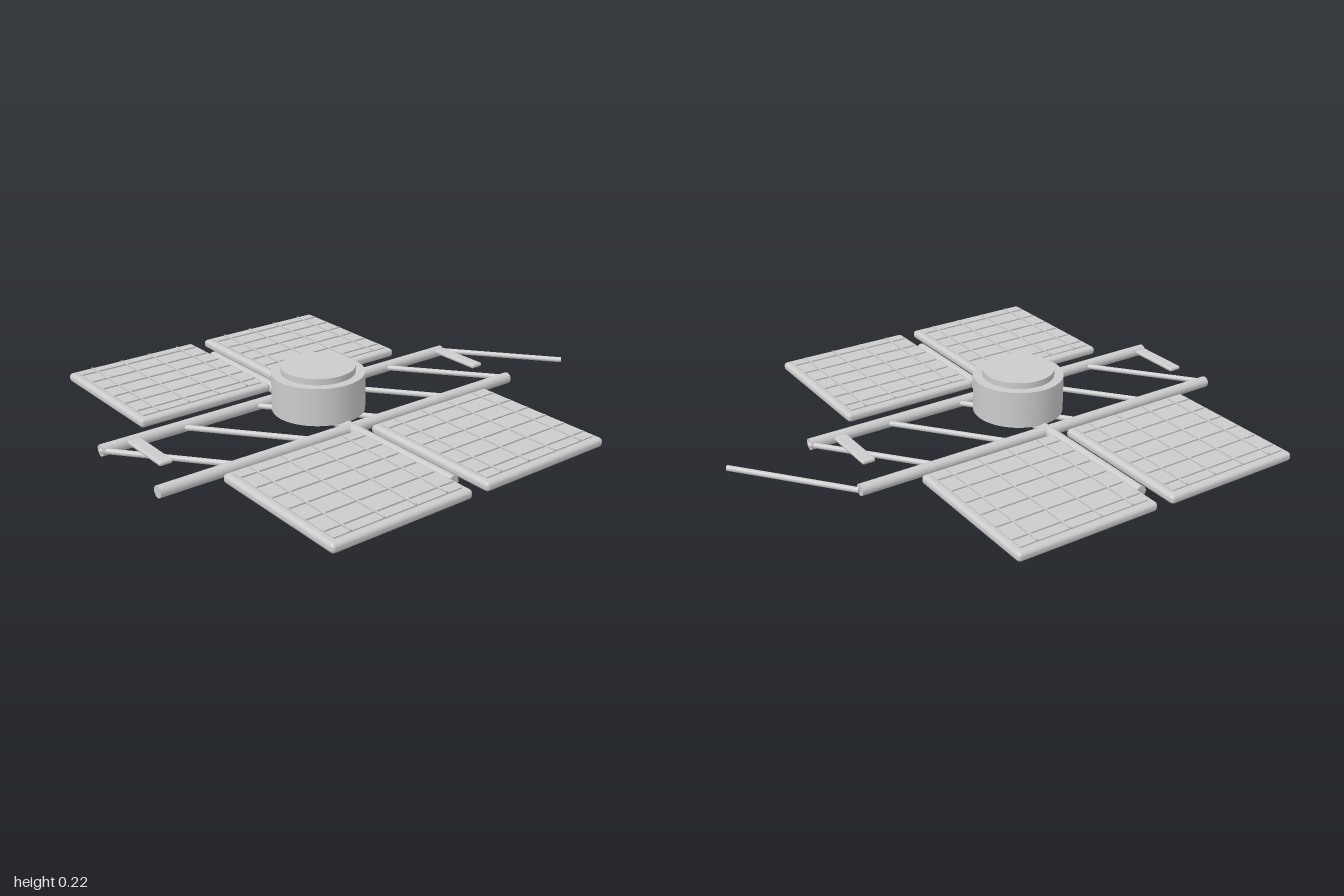
import * as THREE from 'three';
import { RoundedBoxGeometry } from 'three/addons/geometries/RoundedBoxGeometry.js';

const MID = 0.163; // z of the hub and cross boom
const material = new THREE.MeshStandardMaterial({ color: 0xcccccc });

function add(parent, name, geometry, x = 0, y = 0, z = 0) {
  const mesh = new THREE.Mesh(geometry, material);
  mesh.name = name;
  mesh.position.set(x, y, z);
  parent.add(mesh);
  return mesh;
}

// Round bar between two points
function rod(parent, name, from, to, radius) {
  const a = new THREE.Vector3(...from);
  const b = new THREE.Vector3(...to);
  const dir = b.clone().sub(a);
  const mesh = add(parent, name, new THREE.CylinderGeometry(radius, radius, dir.length(), 20));
  mesh.position.copy(a).add(b).multiplyScalar(0.5);
  mesh.quaternion.setFromUnitVectors(new THREE.Vector3(0, 1, 0), dir.normalize());
}

// Rounded panel with a raised cell sheet and a grid of thin bars
function solarPanel() {
  const panel = new THREE.Group();
  panel.name = 'solarPanel';
  const w = 0.555, d = 0.535, cols = 6, rows = 4;
  add(panel, 'panelFrame', new RoundedBoxGeometry(0.615, 0.036, 0.588, 4, 0.015), 0, 0.04, 0);
  add(panel, 'cellSheet', new THREE.BoxGeometry(w, 0.008, d), 0, 0.059, 0);
  for (let i = 0; i < cols; i++) {
    add(panel, 'gridBar', new THREE.BoxGeometry(0.006, 0.008, d), ((i + 0.5) / cols - 0.5) * w, 0.065, 0);
  }
  for (let i = 0; i < rows; i++) {
    add(panel, 'gridBar', new THREE.BoxGeometry(w, 0.008, 0.006), 0, 0.065, ((i + 0.5) / rows - 0.5) * d);
  }
  return panel;
}

export function createModel() {
  const model = new THREE.Group();
  model.name = 'spaceStation';

  // Truss: two long rails, a cross boom and slanting braces
  for (const side of [-1, 1]) {
    rod(model, 'trussRail', [side * 0.205, 0.024, -0.663], [side * 0.205, 0.024, 0.99], 0.023);
  }
  rod(model, 'crossBoom', [-0.765, 0.024, MID], [0.765, 0.024, MID], 0.023);
  for (let i = 0; i < 6; i++) {
    const z = 0.99 - i * 0.331;
    rod(model, 'trussBrace', [-0.205, 0.024, z], [0.205, 0.024, z - 0.331], 0.011);
  }

  // Central drum with a stepped lid
  add(model, 'hubDrum', new THREE.CylinderGeometry(0.181, 0.181, 0.15, 48), 0, 0.117, MID);
  add(model, 'hubLid', new THREE.CylinderGeometry(0.144, 0.144, 0.026, 48), 0, 0.204, MID);

  // Four solar panels
  for (const sx of [-1, 1]) {
    for (const sz of [-1, 1]) {
      const panel = solarPanel();
      panel.position.set(sx * 0.588, 0, MID + sz * 0.325);
      model.add(panel);
    }
  }

  // Small plates above the truss ends
  for (const sz of [-1, 1]) {
    add(model, 'endPlate', new RoundedBoxGeometry(0.235, 0.017, 0.054, 3, 0.008), 0, 0.071, MID + sz * 0.738);
  }
  return model;
}
